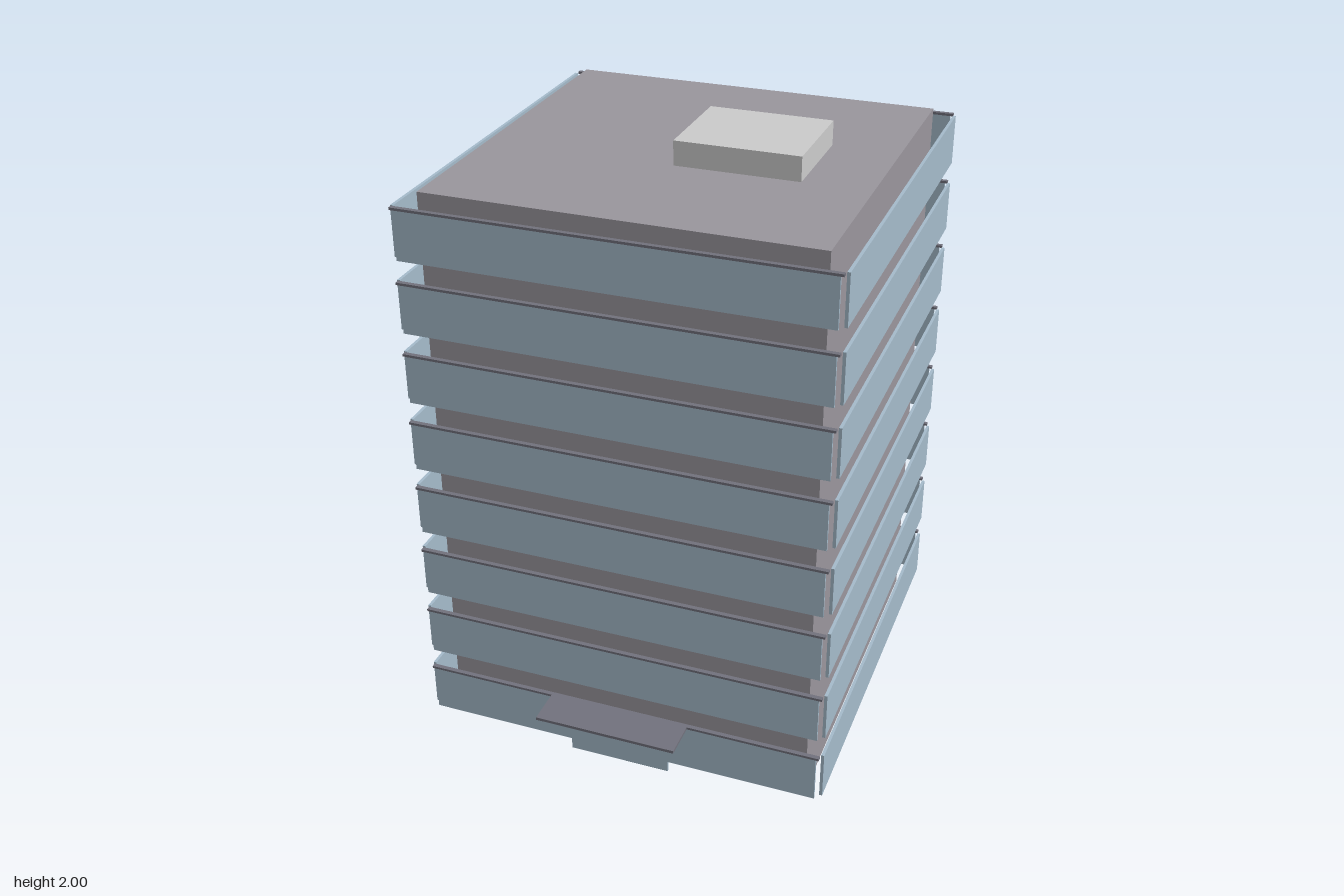
import * as THREE from 'three';

export function createModel() {
  const model = new THREE.Group();
  model.name = 'officeTower';

  const wall = new THREE.MeshStandardMaterial({ color: 0x9a969d });
  const glass = new THREE.MeshStandardMaterial({ color: 0xa5bbcb });
  const trim = new THREE.MeshStandardMaterial({ color: 0x72727d });
  const plain = new THREE.MeshStandardMaterial({ color: 0xcccccc });

  // Box given by its [min, max] extent on each axis
  function block(name, material, [x0, x1], [y0, y1], [z0, z1], parent = model) {
    const mesh = new THREE.Mesh(new THREE.BoxGeometry(x1 - x0, y1 - y0, z1 - z0), material);
    mesh.position.set((x0 + x1) / 2, (y0 + y1) / 2, (z0 + z1) / 2);
    mesh.name = name;
    parent.add(mesh);
  }

  // Building core and rooftop plant room
  block('core', wall, [-0.63, 0.627], [0, 1.92], [-0.692, 0.57]);
  block('roofHousing', plain, [0, 0.406], [1.92, 2], [-0.235, 0.108]);

  // Eight floors of facade bands standing clear of the core
  const floors = 8, pitch = 0.24;
  for (let i = 0; i < floors; i++) {
    const floor = new THREE.Group();
    floor.name = `floorBand${i + 1}`;
    floor.position.y = 0.04 + i * pitch;
    model.add(floor);

    block('frontPanel', glass, [-0.678, 0.674], [0, 0.161], [0.629, 0.637], floor);
    block('backPanel', glass, [-0.678, 0.674], [0, 0.161], [-0.764, -0.756], floor);
    block('frontCap', trim, [-0.688, 0.684], [0.161, 0.169], [0.624, 0.639], floor);
    block('backCap', trim, [-0.688, 0.684], [0.161, 0.169], [-0.765, -0.75], floor);
    block('rightPanel', glass, [-0.697, -0.687], [0, 0.166], [-0.743, 0.614], floor);
    block('leftPanel', glass, [0.685, 0.695], [0, 0.166], [-0.743, 0.614], floor);
  }

  // Entrance panel below the first band, sheltered by a canopy
  block('entrance', glass, [-0.175, 0.17], [0, 0.04], [0.629, 0.637]);
  block('canopy', trim, [-0.242, 0.238], [0.2, 0.21], [0.637, 0.763]);

  return model;
}
